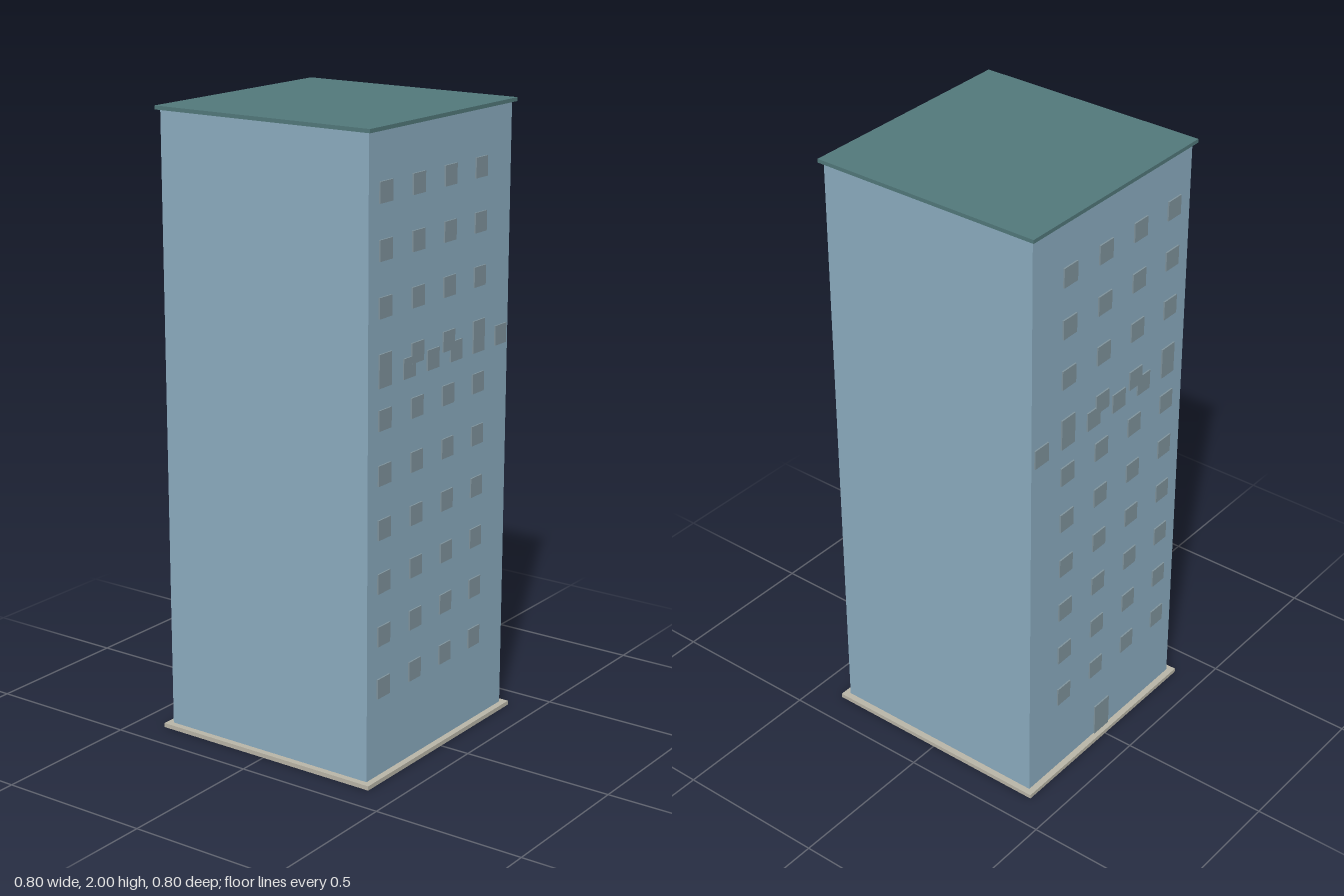
import * as THREE from 'three';

const material = (color) => new THREE.MeshStandardMaterial({ color });

export function createModel() {
  const model = new THREE.Group();
  const wall = material(0x8cadc1);
  const pane = material(0x80949d);
  const roof = material(0x52797b);
  const stone = material(0xbab6a8);

  const box = (name, parent, mat, [w, h, d], [x, y, z]) => {
    const mesh = new THREE.Mesh(new THREE.BoxGeometry(w, h, d), mat);
    mesh.name = name;
    mesh.position.set(x, y, z);
    parent.add(mesh);
  };

  // Ground slab, tower and flat roof
  box('baseSlab', model, stone, [0.8, 0.014, 0.8], [0, 0.007, 0]);
  box('tower', model, wall, [0.758, 1.976, 0.758], [0, 1.002, 0]);
  box('roof', model, roof, [0.782, 0.012, 0.782], [0, 1.994, 0]);

  // Window grid plus one offset row, on the front and the back
  const size = 0.063, depth = 0.012, face = 0.378;
  for (const side of [1, -1]) {
    const windows = new THREE.Group();
    windows.name = side > 0 ? 'frontWindows' : 'backWindows';
    for (let row = 0; row < 10; row++)
      for (let col = 0; col < 4; col++)
        box('window', windows, pane, [size, size, depth],
          [-0.296 + col * 0.168, 0.299 + row * 0.168, side * face]);
    for (let col = 0; col < 6; col++)
      box('offsetWindow', windows, pane, [size, size, depth - 0.0004],
        [-0.296 + col * 0.126, 1.268, side * face]);
    model.add(windows);
  }

  // Entrance door at the back
  box('door', model, pane, [0.075, 0.112, depth], [0, 0.07, -face]);

  return model;
}
